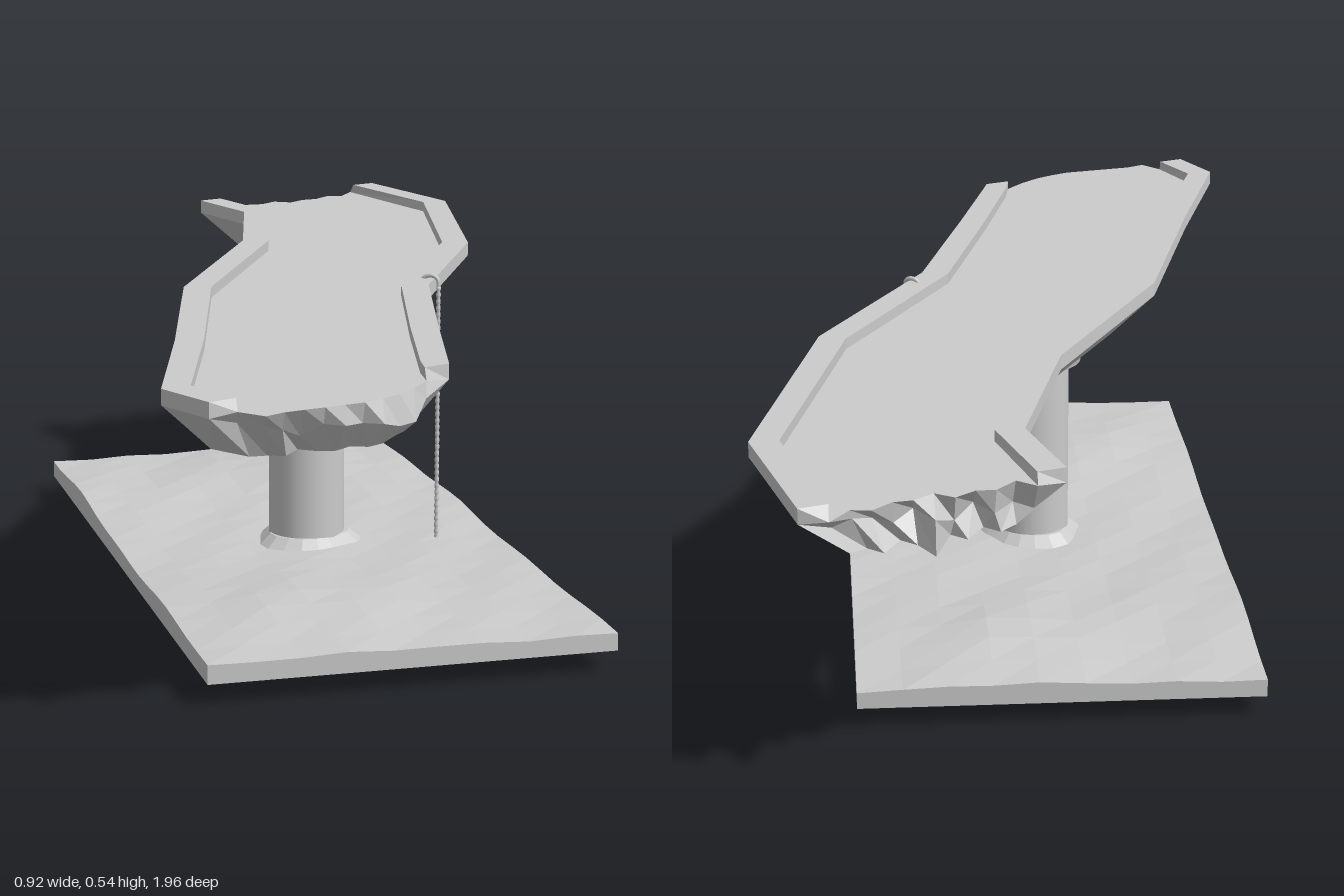
import * as THREE from 'three';

const mat = () => new THREE.MeshStandardMaterial({ color: 0xcccccc });

function add(parent, name, geometry, x = 0, y = 0, z = 0) {
  const mesh = new THREE.Mesh(geometry, mat());
  mesh.name = name;
  mesh.position.set(x, y, z);
  parent.add(mesh);
  return mesh;
}

// Small seeded generator for broken concrete and uneven ground
function seeded(seed) {
  return () => {
    seed = (seed * 16807) % 2147483647;
    return seed / 2147483647 - 0.5;
  };
}

// Collects quads and triangles into a faceted geometry
function facets() {
  const out = [];
  return {
    tri(a, b, c) { out.push(...a, ...b, ...c); },
    quad(a, b, c, d) { this.tri(a, b, c); this.tri(a, c, d); },
    build() {
      const g = new THREE.BufferGeometry();
      g.setAttribute('position', new THREE.Float32BufferAttribute(out, 3));
      g.computeVertexNormals();
      return g;
    },
  };
}

// Road stations, back to front: left x, z, right x, z, curb top y, underside y
const STATIONS = [
  [-0.02, -0.84, 0.385, -0.98, 0.537, 0.445],
  [0.03, -0.67, 0.46, -0.70, 0.538, 0.441],
  [-0.055, -0.33, 0.347, -0.20, 0.540, 0.437],
  [-0.26, 0.08, 0.156, 0.17, 0.535, 0.432],
  [-0.37, 0.51, 0.07, 0.50, 0.532, 0.430],
  [-0.463, 0.84, 0.01, 0.74, 0.530, 0.430],
  [-0.415, 0.945, 0.0, 0.78, 0.530, 0.430],
];
// Jagged z offsets across the broken ends, left to right: deck, middle, underside
const BACK = [
  [-0.01, 0.025, 0, 0.01, -0.005, 0.025, 0.01, 0.015, -0.005, 0.01, -0.025],
  [0.02, 0.05, 0.01, 0.06, 0.02, -0.03, 0.05, 0.03, 0.06, 0.02, 0.03],
  [0.03, 0.01, 0.04, 0, 0.03, -0.045, 0.01, 0.04, 0, 0.03, 0.02],
];
const FRONT = [
  [0.01, 0.06, 0.055, 0.06, 0.065, 0.07, 0.075, 0.07, 0.06, 0.04, 0.01],
  [-0.01, 0.03, 0.035, 0.025, 0.055, 0.075, 0.065, 0.085, 0.07, 0.06, 0.02],
  [-0.03, -0.02, 0, -0.025, 0.005, 0.02, 0.01, 0.03, 0.025, 0, -0.02],
];
const K = 11;

function roadSlab() {
  const f = facets();
  const rnd = seeded(77);
  const rings = STATIONS.map(([lx, lz, rx, rz, top, under], s) => {
    const width = Math.hypot(rx - lx, rz - lz);
    const jag = s === 0 ? BACK : s === STATIONS.length - 1 ? FRONT : null;
    const at = (t, y, dz = 0) => [lx + (rx - lx) * t, y, lz + (rz - lz) * t + dz];
    const row = (inset, y, r) => Array.from({ length: K }, (_, i) => {
      const t = inset / width + (1 - 2 * inset / width) * i / (K - 1);
      const lift = jag && r === 1 ? rnd() * 0.03 : 0;
      return at(t, y + lift, jag ? jag[r][i] : 0);
    });
    const c = 0.048 / width;
    const deck = row(0.048, top - 0.019, 0);
    const middle = row(0.052, (top + under) / 2 - 0.005, 1);
    const base = row(0.08, under, 2);
    const lo = at(0, top), li = at(c, top), ri = at(1 - c, top), ro = at(1, top);
    const ll = at(0, top - 0.025), rl = at(1, top - 0.025);
    const loop = [lo, li, ...deck, ri, ro, rl, ...base.slice().reverse(), ll];
    return { loop, deck, middle, base, lo, li, ri, ro, ll, rl };
  });

  // Sides, deck, curbs and underside
  for (let s = 0; s < rings.length - 1; s++) {
    const a = rings[s].loop, b = rings[s + 1].loop;
    a.forEach((p, i) => {
      const j = (i + 1) % a.length;
      f.quad(p, b[i], b[j], a[j]);
    });
  }
  // Broken ends
  const cap = (r, front) => {
    const q = (a, b, c, d) => (front ? f.quad(a, b, c, d) : f.quad(d, c, b, a));
    const t = (a, b, c) => (front ? f.tri(a, b, c) : f.tri(c, b, a));
    for (const [u, v] of [[r.deck, r.middle], [r.middle, r.base]]) {
      for (let i = 0; i < K - 1; i++) q(u[i], v[i], v[i + 1], u[i + 1]);
      t(u[0], r.ll, v[0]);
      t(u[K - 1], v[K - 1], r.rl);
    }
    q(r.lo, r.ll, r.deck[0], r.li);
    q(r.ri, r.deck[K - 1], r.rl, r.ro);
  };
  cap(rings[0], false);
  cap(rings[rings.length - 1], true);
  return f.build();
}

// Ground slab with a gently uneven top
function groundSlab() {
  const W = 0.675, D = 1.355, H = 0.03;
  const g = new THREE.BoxGeometry(W, H, D, 9, 1, 18);
  const p = g.attributes.position;
  const bump = (x, z, cx, cz, r) => Math.exp(-((x - cx) ** 2 + (z - cz) ** 2) / (r * r));
  for (let i = 0; i < p.count; i++) {
    if (p.getY(i) < 0) continue;
    const x = p.getX(i) - 0.0375, z = p.getZ(i) + 0.0675;
    const y = 0.064 + 0.022 * bump(x, z, -0.15, 0.48, 0.2) + 0.026 * bump(x, z, 0.04, -0.42, 0.17)
      + 0.012 * bump(x, z, -0.36, -0.3, 0.2) + 0.009 * bump(x, z, 0.25, -0.15, 0.2)
      + 0.002 * Math.sin(x * 31 + z * 17);
    p.setY(i, y - 0.05);
  }
  const flat = g.toNonIndexed();
  flat.computeVertexNormals();
  return flat;
}

// Low, uneven collar of earth around the pillar foot
function earthCollar() {
  const g = new THREE.CylinderGeometry(0.07, 0.093, 0.02, 18, 1);
  const p = g.attributes.position;
  for (let i = 0; i < p.count; i++) {
    const a = Math.atan2(p.getZ(i), p.getX(i));
    const k = 1 + 0.06 * Math.sin(a * 3 + 1) + 0.04 * Math.sin(a * 5);
    p.setXYZ(i, p.getX(i) * k, p.getY(i), p.getZ(i) * k);
  }
  const flat = g.toNonIndexed();
  flat.computeVertexNormals();
  return flat;
}

// Hanging rope: a beaded profile turned round its axis
function ropeGeometry(length, beads) {
  const pts = [new THREE.Vector2(0, 0)];
  for (let i = 0; i < beads; i++) {
    const y = (i * length) / beads, h = length / beads;
    pts.push(new THREE.Vector2(0.0028, y), new THREE.Vector2(0.0042, y + h * 0.3),
      new THREE.Vector2(0.0042, y + h * 0.7));
  }
  pts.push(new THREE.Vector2(0, length));
  return new THREE.LatheGeometry(pts, 8);
}

export function createModel() {
  const model = new THREE.Group();
  model.name = 'brokenOverpass';

  add(model, 'ground', groundSlab(), -0.0375, 0.05, 0.0675);
  add(model, 'roadSlab', roadSlab());

  // Support column
  const support = new THREE.Group();
  support.name = 'support';
  support.position.set(-0.037, 0, 0.067);
  model.add(support);
  add(support, 'pillar', new THREE.CylinderGeometry(0.067, 0.067, 0.36, 32), 0, 0.23, 0);
  add(support, 'pillarCap', new THREE.CylinderGeometry(0.099, 0.088, 0.04, 24), 0, 0.42, 0);
  add(support, 'earthCollar', earthCollar(), 0, 0.072, 0);

  // Rope hooked over the curb
  const rope = new THREE.Group();
  rope.name = 'rope';
  model.add(rope);
  add(rope, 'hangingRope', ropeGeometry(0.525, 44), 0.188, 0, 0.125);
  const hook = new THREE.CatmullRomCurve3([
    [0.188, 0.52, 0.125], [0.187, 0.535, 0.123], [0.177, 0.541, 0.116],
    [0.166, 0.536, 0.109], [0.164, 0.524, 0.107],
  ].map((v) => new THREE.Vector3(...v)));
  add(rope, 'ropeHook', new THREE.TubeGeometry(hook, 16, 0.004, 8));
  return model;
}
